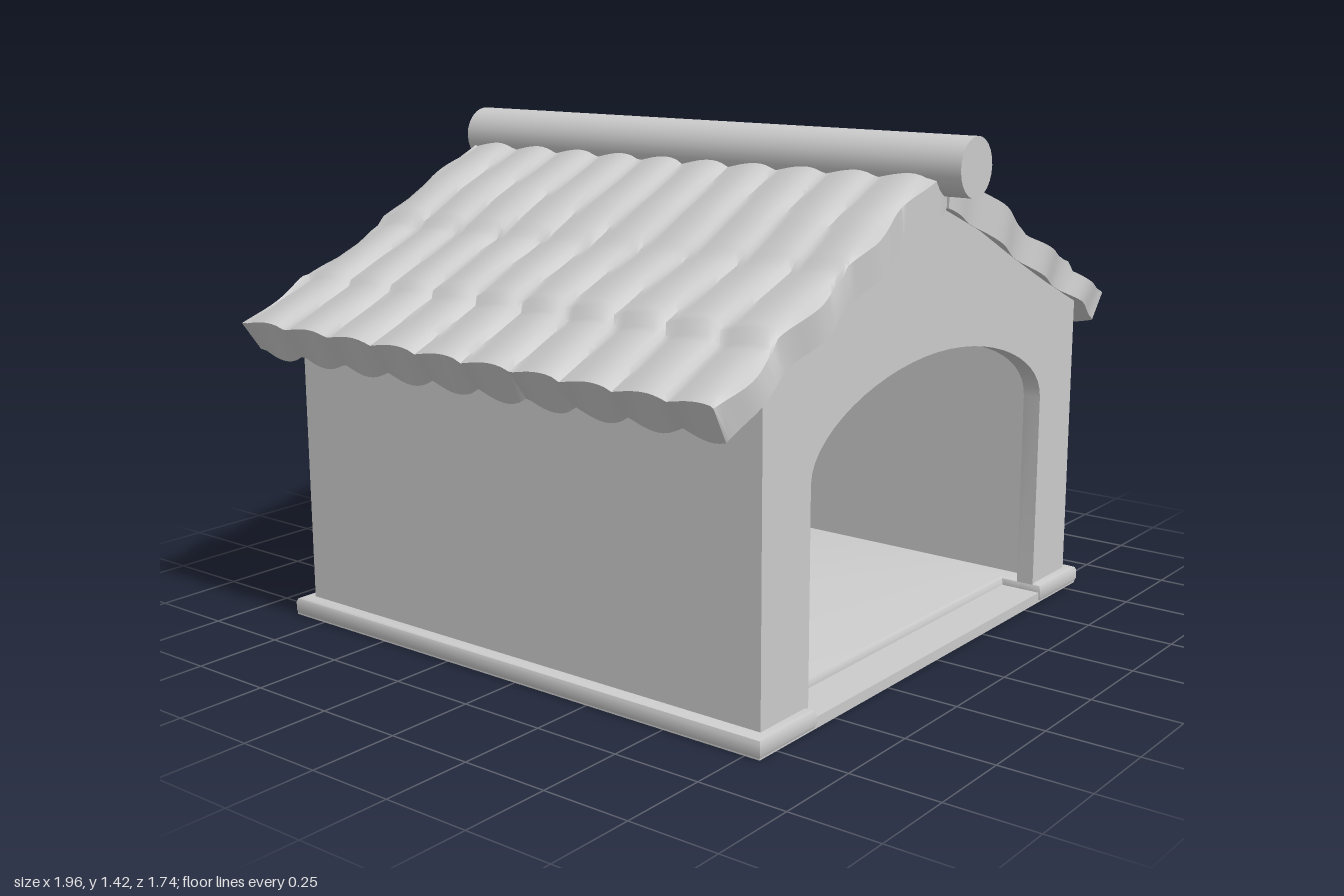
import * as THREE from 'three';
import { toCreasedNormals } from 'three/addons/utils/BufferGeometryUtils.js';

const material = new THREE.MeshStandardMaterial({ color: 0xcccccc });

function part(name, geometry) {
  const mesh = new THREE.Mesh(geometry, material);
  mesh.name = name;
  return mesh;
}

// House-shaped outline, used for walls and their hollow
function gable(Type, halfWidth, bottom, eave, peak) {
  const w = halfWidth;
  return new Type([[-w, bottom], [w, bottom], [w, eave], [0, peak], [-w, eave]]
    .map(([x, y]) => new THREE.Vector2(x, y)));
}

function slab(name, shape, z0, z1) {
  const geo = new THREE.ExtrudeGeometry(shape, { depth: z1 - z0, bevelEnabled: false, curveSegments: 14 });
  geo.translate(0, 0, z0);
  return part(name, toCreasedNormals(geo, 0.6));
}

// Piecewise-linear profile lookup: [x, y] points
function profile(points, x) {
  let i = 1;
  while (i < points.length - 1 && points[i][0] < x) i++;
  const [x0, y0] = points[i - 1], [x1, y1] = points[i];
  return y0 + (y1 - y0) * (x - x0) / (x1 - x0);
}

const roofTop = [[0, 1.36], [0.1, 1.31], [0.3, 1.215], [0.46, 1.125], [0.62, 1.055], [0.78, 0.98], [0.98, 0.885]];
const roofUnder = [[0, 1.23], [0.2, 1.15], [0.4, 1.05], [0.6, 0.955], [0.79, 0.87], [0.92, 0.787]];
const courses = [0, 0.465, 0.765, 1];

// Tiled roof slope: a box bent to the roof profile, with rounded ribs and stepped courses
function roofSlope(name, seed) {
  const length = 1.63, ribs = 10;
  const geo = new THREE.BoxGeometry(1, 1, 1, 44, 1, 100);
  const pos = geo.attributes.position;
  for (let i = 0; i < pos.count; i++) {
    const t = pos.getX(i) + 0.5, upper = pos.getY(i) > 0, v = pos.getZ(i) + 0.5;
    const row = t < 0.465 ? 0 : t < 0.765 ? 1 : 2;
    const along = (t - courses[row]) / (courses[row + 1] - courses[row]);
    const shift = 0.06 * Math.sin(row * 2.1 + seed) + 0.05 * Math.sin(t * 9 + v * 5 + seed);
    const phase = v * ribs + shift;
    const k = Math.floor(phase), f = phase - k;
    const rib = Math.sin(Math.PI * Math.pow(f, 0.65));
    const wobble = Math.sin(k * 12.9 + row * 4.1 + seed);
    let x, y;
    if (upper) {
      x = t * (0.97 + 0.012 * rib * t);
      y = profile(roofTop, x) - 0.022 + 0.022 * rib + 0.012 * along + 0.005 * wobble;
    } else {
      x = t * (0.91 + 0.012 * rib * t);
      y = profile(roofUnder, x) + t * t * t * 0.012 * (1 - rib);
    }
    const z = (v - 0.5) * length + (Math.abs(v - 0.5) > 0.499 ? 0.012 * Math.sin(t * 23 + seed) : 0);
    pos.setXYZ(i, x, y, z);
  }
  const mesh = part(name, toCreasedNormals(geo, 0.7));
  mesh.position.z = -0.03;
  return mesh;
}

export function createModel() {
  const house = new THREE.Group();
  house.name = 'gabledHut';

  // Floor
  const floor = part('floor', new THREE.BoxGeometry(1.64, 0.03, 1.66));
  floor.position.set(0, 0.015, -0.035);
  house.add(floor);

  // Skirting round the foot of the walls, open at the doorway
  const plan = new THREE.Shape([[-0.81, -0.785], [-0.6, -0.785], [-0.6, -0.66], [0.6, -0.66], [0.6, -0.785],
    [0.81, -0.785], [0.81, 0.85], [-0.81, 0.85]].map(([x, y]) => new THREE.Vector2(x, y)));
  const hollow = [[-0.7, -0.7], [-0.7, 0.75], [0.7, 0.75], [0.7, -0.7]];
  plan.setFromPoints([[-0.81, -0.785], [-0.6, -0.785], [-0.6, -0.74], hollow[0], hollow[1], hollow[2], hollow[3],
    [0.6, -0.74], [0.6, -0.785], [0.81, -0.785], [0.81, 0.85], [-0.81, 0.85]]
    .map(([x, y]) => new THREE.Vector2(x, y)));
  const skirting = new THREE.ExtrudeGeometry(plan, {
    depth: 0.025, bevelThickness: 0.014, bevelSize: 0.014, bevelSegments: 2,
  });
  skirting.rotateX(-Math.PI / 2);
  skirting.scale(1, 1, 1).translate(0, 0.014, 0);
  house.add(part('skirting', toCreasedNormals(skirting, 0.6)));

  // Side walls with the hollow interior
  const shell = gable(THREE.Shape, 0.785, 0.01, 0.89, 1.25);
  shell.holes.push(gable(THREE.Path, 0.65, 0.025, 0.83, 1.13));
  house.add(slab('sideWalls', shell, -0.75, 0.72));

  // Back wall
  house.add(slab('backWall', gable(THREE.Shape, 0.785, 0.01, 0.89, 1.25), -0.825, -0.75));

  // Front wall with the arched doorway
  const front = gable(THREE.Shape, 0.785, 0.01, 0.89, 1.25);
  const door = new THREE.Path();
  door.moveTo(-0.585, 0.03);
  door.lineTo(-0.585, 0.62);
  door.bezierCurveTo(-0.585, 0.74, -0.3, 0.85, 0, 0.85);
  door.bezierCurveTo(0.3, 0.85, 0.59, 0.74, 0.59, 0.62);
  door.lineTo(0.59, 0.03);
  door.closePath();
  front.holes.push(door);
  house.add(slab('frontWall', front, 0.72, 0.772));

  // Two tiled slopes
  house.add(roofSlope('leftRoof', 0.7));
  const right = roofSlope('rightRoof', 3.2);
  right.rotation.y = Math.PI;
  house.add(right);

  // Round ridge beam
  const ridge = new THREE.CylinderGeometry(0.08, 0.08, 1.73, 24);
  ridge.rotateX(Math.PI / 2);
  ridge.translate(0, 1.34, 0.005);
  house.add(part('ridgeBeam', ridge));

  return house;
}
